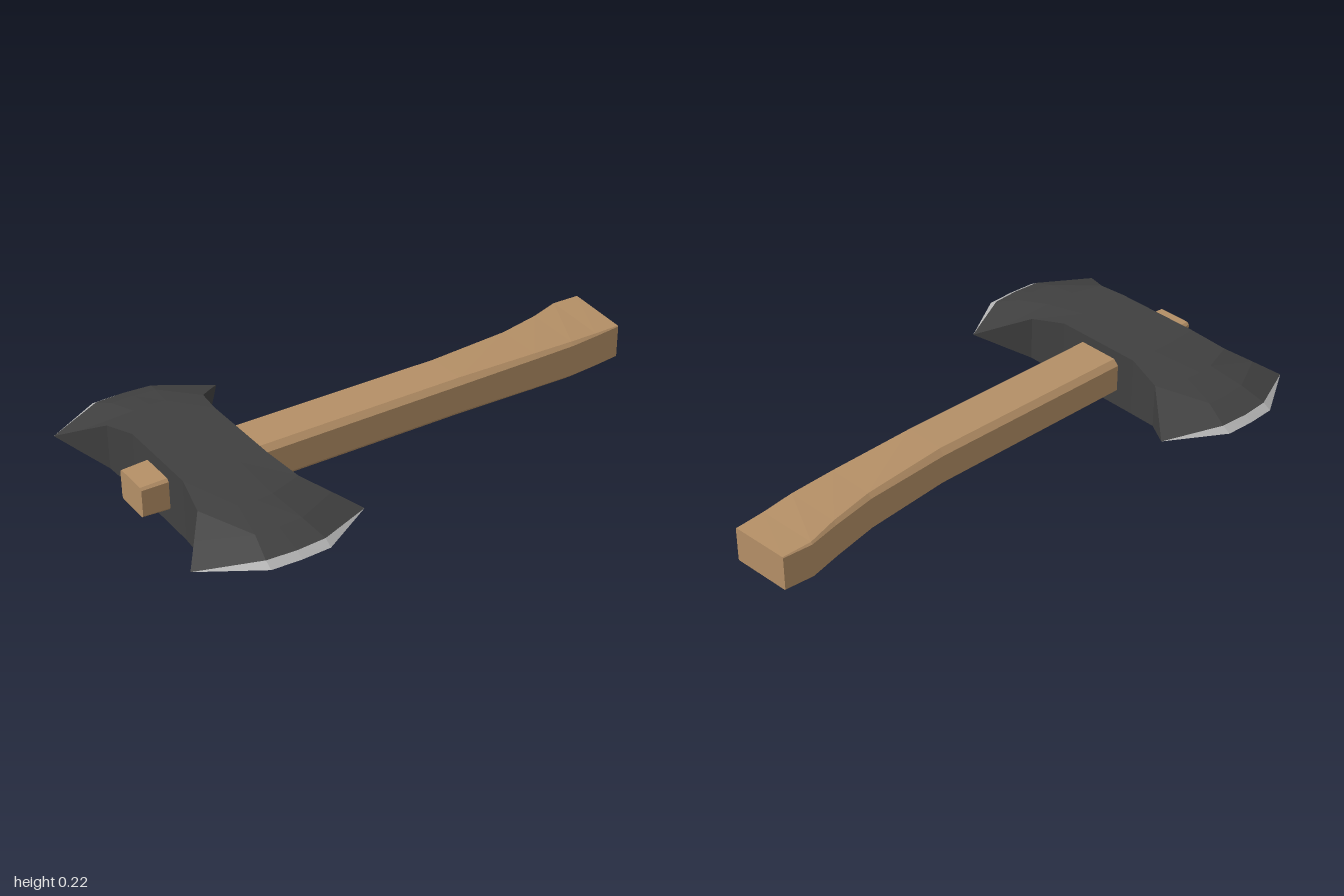
import * as THREE from 'three';

const wood = new THREE.MeshStandardMaterial({ color: 0xb48f66 });
wood.name = 'wood';
const iron = new THREE.MeshStandardMaterial({ color: 0x404040 });
iron.name = 'dark iron';
const steel = new THREE.MeshStandardMaterial({ color: 0xb2b2b2 });
steel.name = 'bright steel';

// Faceted geometry from a list of quads, corners counter-clockwise
function facets(quads) {
  const pos = [];
  for (const [a, b, c, d] of quads) pos.push(...a, ...b, ...c, ...a, ...c, ...d);
  const geo = new THREE.BufferGeometry();
  geo.setAttribute('position', new THREE.Float32BufferAttribute(pos, 3));
  geo.computeVertexNormals();
  return geo;
}

function addMesh(parent, name, geo, mat) {
  const mesh = new THREE.Mesh(geo, mat);
  mesh.name = name;
  parent.add(mesh);
  return mesh;
}

// Rows of one blade half: centre x, half width, then [z, half thickness]
// at the corner, at the shoulder and in the middle
const bladeRows = [
  { cx: -0.703, w: 0.152, at: [[0, 0.11], [0, 0.11], [0, 0.11]] },
  { cx: -0.703, w: 0.152, at: [[0.17, 0.11], [0.175, 0.11], [0.175, 0.11]] },
  { cx: -0.70, w: 0.18, at: [[0.305, 0.083], [0.345, 0.081], [0.35, 0.081]] },
  { cx: -0.695, w: 0.245, at: [[0.388, 0.042], [0.475, 0.053], [0.48, 0.053]] },
  { cx: -0.69, w: 0.31, at: [[0.47, 0], [0.565, 0.018], [0.572, 0.018]] },
  { cx: -0.69, w: 0.31, at: [[0.47, 0], [0.595, 0], [0.60, 0]] },
];
const columns = [[-1, 0], [-0.34, 1], [0, 2], [0.34, 1], [1, 0]];

// Top, bottom and sides between two neighbouring rows
function bladeGeometry(first, last) {
  const point = (i, j, side) => {
    const { cx, w, at } = bladeRows[i];
    const [u, k] = columns[j];
    return [cx + u * w, side * at[k][1], at[k][0]];
  };
  const quads = [];
  const end = columns.length - 1;
  for (let i = first; i < last; i++) {
    for (let j = 0; j < end; j++) {
      quads.push([point(i, j, 1), point(i + 1, j, 1), point(i + 1, j + 1, 1), point(i, j + 1, 1)]);
      quads.push([point(i, j + 1, -1), point(i + 1, j + 1, -1), point(i + 1, j, -1), point(i, j, -1)]);
    }
    if (i < 4) {
      quads.push([point(i, end, 1), point(i + 1, end, 1), point(i + 1, end, -1), point(i, end, -1)]);
      quads.push([point(i, 0, -1), point(i + 1, 0, -1), point(i + 1, 0, 1), point(i, 0, 1)]);
    }
  }
  return facets(quads);
}

// Chamfered handle section: x, back z, front z, bottom y, top y, chamfer, tilt
const handleStations = [
  [-0.95, -0.075, 0.068, 0.06, 0.17, 0.008, 0],
  [-0.85, -0.08, 0.072, 0.056, 0.174, 0.01, 0],
  [-0.56, -0.10, 0.095, 0.045, 0.186, 0.02, 0],
  [0.27, -0.10, 0.093, 0.045, 0.189, 0.02, 0],
  [0.60, -0.125, 0.085, 0.04, 0.184, 0.015, 0.03],
  [0.77, -0.16, 0.078, 0.038, 0.181, 0.012, 0.05],
  [0.89, -0.194, 0.063, 0.043, 0.178, 0.007, 0.08],
  [1.0, -0.19, 0.052, 0.049, 0.176, 0.003, 0.09],
];

function handleRing([x, z0, z1, y0, y1, c, tilt]) {
  const mid = (z0 + z1) / 2;
  return [
    [z1, y0 + c], [z1, y1 - c], [z1 - c, y1], [z0 + c, y1],
    [z0, y1 - c], [z0, y0 + c], [z0 + c, y0], [z1 - c, y0],
  ].map(([z, y]) => [x, y - tilt * (z - mid), z]);
}

function handleGeometry() {
  const rings = handleStations.map(handleRing);
  const quads = [];
  for (let i = 0; i + 1 < rings.length; i++) {
    for (let k = 0; k < 8; k++) {
      const n = (k + 1) % 8;
      quads.push([rings[i][k], rings[i + 1][k], rings[i + 1][n], rings[i][n]]);
    }
  }
  // End caps, three quads across each octagon
  const a = rings[0], b = rings[rings.length - 1];
  for (const [p, q, r, s] of [[0, 1, 2, 7], [7, 2, 3, 6], [6, 3, 4, 5]]) {
    quads.push([a[p], a[q], a[r], a[s]]);
    quads.push([b[s], b[r], b[q], b[p]]);
  }
  return facets(quads);
}

export function createModel() {
  const axe = new THREE.Group();
  axe.name = 'doubleAxe';
  addMesh(axe, 'handle', handleGeometry(), wood);

  // Two identical blades, the back one turned half round the handle
  const body = bladeGeometry(0, 4);
  const edge = bladeGeometry(4, 5);
  for (const [name, turn] of [['frontBlade', 0], ['backBlade', Math.PI]]) {
    const blade = new THREE.Group();
    blade.name = name;
    blade.position.y = 0.11;
    blade.rotation.x = turn;
    addMesh(blade, 'bladeBody', body, iron);
    addMesh(blade, 'cuttingEdge', edge, steel);
    axe.add(blade);
  }
  return axe;
}
